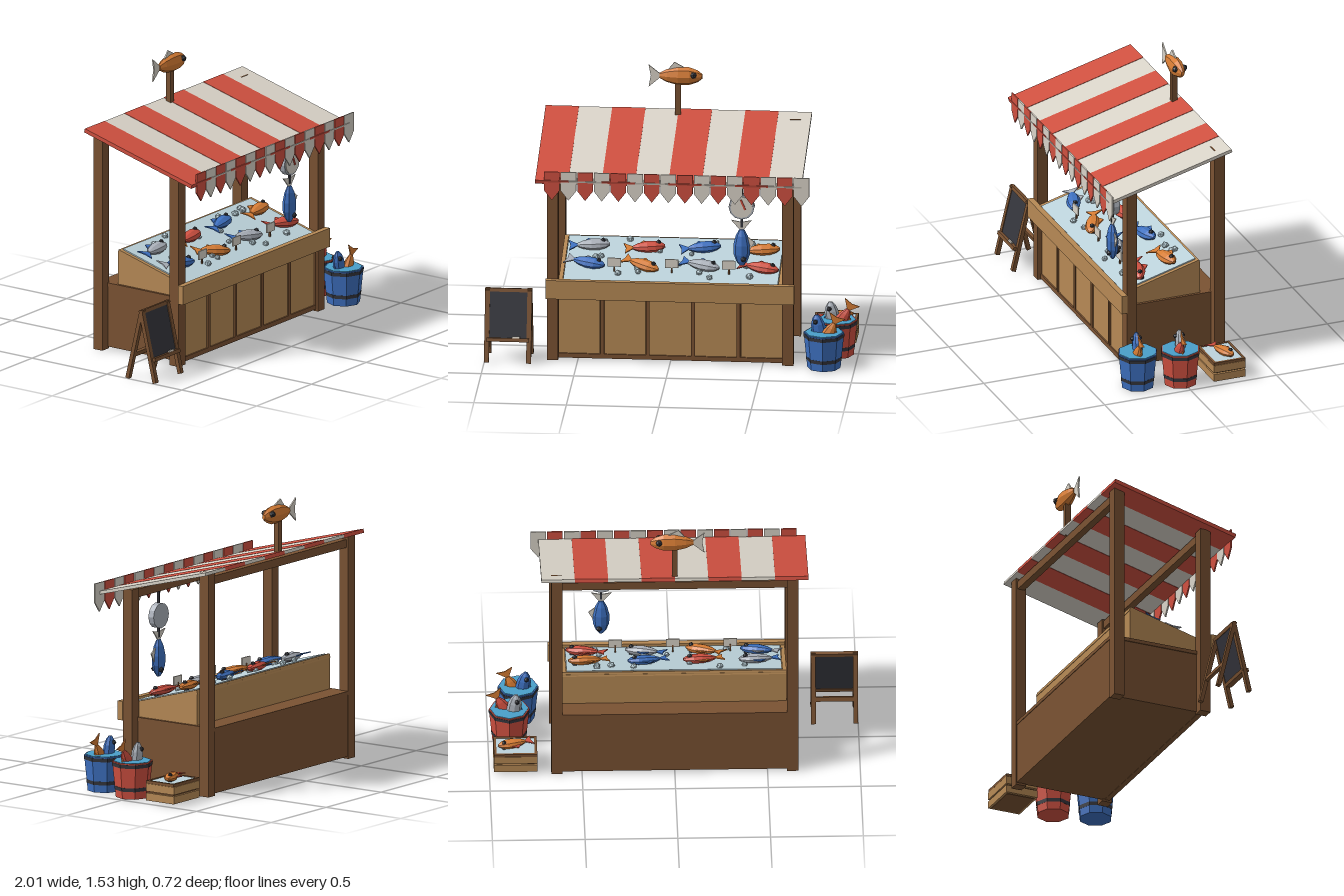
import * as THREE from 'three';

const mat = (name, color) => Object.assign(new THREE.MeshStandardMaterial({ color }), { name });

export function createModel() {
  const M = {
    red: mat('red', 0xcf5040), white: mat('off white', 0xd9d3c8), wood: mat('light wood', 0xb68955),
    brown: mat('dark wood', 0x7a5232), blue: mat('blue', 0x3d70c0), orange: mat('orange', 0xd67c34),
    ice: mat('ice', 0xbcd2da), dark: mat('charcoal', 0x35363d), water: mat('water', 0x4a9fc9),
    grey: mat('silver', 0xa9afb8),
  };
  const root = new THREE.Group();
  root.name = 'fishStall';

  const group = (name, x, y, z, parent = root) => {
    const g = new THREE.Group();
    g.name = name;
    g.position.set(x, y, z);
    parent.add(g);
    return g;
  };
  const add = (name, geo, m, x, y, z, parent = root) => {
    const mesh = new THREE.Mesh(geo, m);
    mesh.name = name;
    mesh.position.set(x, y, z);
    parent.add(mesh);
    return mesh;
  };
  const box = (name, m, w, h, d, x, y, z, parent) => add(name, new THREE.BoxGeometry(w, h, d), m, x, y, z, parent);
  // faceted normals baked into the geometry
  const flat = (g) => {
    const f = g.index ? g.toNonIndexed() : g;
    f.computeVertexNormals();
    return f;
  };
  // thin plate from an outline, centred on z
  const plate = (pts, depth) => {
    const s = new THREE.Shape(pts.map(([x, y]) => new THREE.Vector2(x, y)));
    return new THREE.ExtrudeGeometry(s, { depth, bevelEnabled: false }).translate(0, 0, -depth / 2);
  };

  // fish: nose +x, back +y
  const profile = [[0, -0.1], [0.016, -0.1], [0.037, -0.06], [0.052, 0], [0.05, 0.06], [0.034, 0.105], [0.014, 0.13], [0, 0.13]];
  const bodyGeo = flat(new THREE.LatheGeometry(profile.map(([r, y]) => new THREE.Vector2(r, y)), 8)
    .rotateZ(-Math.PI / 2).scale(1, 1, 0.68));
  const tailGeo = plate([[-0.085, 0], [-0.16, -0.065], [-0.148, 0], [-0.16, 0.06]], 0.008);
  const finGeo = plate([[0.04, 0.045], [-0.02, 0.078], [-0.055, 0.035]], 0.008);
  const eyeGeo = flat(new THREE.IcosahedronGeometry(0.019, 0));
  const fish = (name, body, fins, scale, x, y, z, parent = root) => {
    const g = group(name, x, y, z, parent);
    add('body', bodyGeo, body, 0, 0, 0, g);
    add('tail', tailGeo, fins, 0, 0, 0, g);
    add('backFin', finGeo, fins, 0, 0, 0, g);
    for (const s of [-1, 1]) add('eye', eyeGeo, M.dark, 0.085, 0.012, s * 0.026, g);
    g.scale.setScalar(scale);
    return g;
  };

  // posts and beams
  for (const s of [-1, 1]) {
    box('frontPost', M.brown, 0.06, 1.08, 0.06, s * 0.636, 0.54, 0.205);
    box('rearPost', M.brown, 0.06, 1.23, 0.06, s * 0.636, 0.615, -0.305);
  }
  box('frontBeam', M.brown, 1.22, 0.045, 0.04, 0, 1.05, 0.205);
  box('rearBeam', M.brown, 1.22, 0.045, 0.04, 0, 1.185, -0.305);

  // striped awning with pointed valance
  const awning = group('awning', 0, 1.145, 0.0025);
  awning.rotation.x = Math.atan2(0.19, 0.715);
  for (let i = 0; i < 8; i++) {
    box('awningStripe', i % 2 ? M.white : M.red, 0.18, i % 2 ? 0.018 : 0.022, 0.74, -0.63 + i * 0.18, 0, 0, awning);
  }
  const flagGeo = plate([[-0.042, 0.06], [-0.042, -0.045], [0, -0.1], [0.042, -0.045], [0.042, 0.06]], 0.008);
  for (let i = 0; i < 16; i++) {
    add('valanceFlag', flagGeo, i % 2 ? M.white : M.red, -0.63 + i * 0.09, 1.05 - 0.002, 0.356);
  }

  // rooftop sign fish
  box('signPost', M.brown, 0.03, 0.19, 0.03, 0, 1.315, -0.31);
  fish('signFish', M.orange, M.white, 1, 0, 1.45, -0.31);

  // counter with panelled front
  box('counterBody', M.brown, 1.23, 0.34, 0.525, 0, 0.182, -0.0675);
  box('counterLedge', M.brown, 1.24, 0.02, 0.53, 0, 0.362, -0.068);
  for (let i = 0; i < 5; i++) box('frontPanel', M.wood, 0.226, 0.33, 0.02, (i - 2) * 0.247, 0.19, 0.202);
  for (let i = 0; i < 6; i++) box('panelStile', M.brown, 0.02, 0.34, 0.03, (i - 2.5) * 0.245, 0.19, 0.205);
  box('bottomRail', M.brown, 1.24, 0.025, 0.03, 0, 0.0225, 0.205);
  box('frontBoard', M.wood, 1.345, 0.105, 0.032, 0, 0.408, 0.251);

  // sloped display, outlined as (-z, y)
  const wedge = plate([[-0.234, 0.365], [0.215, 0.365], [0.215, 0.555], [-0.234, 0.43]], 1.21).rotateY(Math.PI / 2);
  add('displayBox', wedge, M.wood, 0, 0, 0);
  const slope = Math.atan2(0.125, 0.449);
  const bed = group('iceBed', 0, 0.4925, 0.0095);
  bed.rotation.x = slope;
  box('ice', M.ice, 1.16, 0.03, 0.44, 0, 0.002, 0, bed);
  for (const s of [-1, 1]) box('sideRail', M.wood, 0.022, 0.024, 0.464, s * 0.594, 0, 0, bed);
  box('rearRail', M.wood, 1.21, 0.024, 0.018, 0, 0, -0.223, bed);

  // fish on ice: body, fins, x, z, yaw
  [
    [M.grey, M.blue, -0.45, -0.1, 0.1], [M.red, M.orange, -0.15, -0.09, 0.15],
    [M.blue, M.blue, 0.15, -0.1, 0.2], [M.orange, M.orange, 0.47, -0.09, 0.15],
    [M.blue, M.grey, -0.46, 0.07, -0.3], [M.orange, M.orange, -0.16, 0.08, -0.5],
    [M.grey, M.blue, 0.16, 0.07, -0.3], [M.red, M.red, 0.48, 0.08, -0.25],
  ].forEach(([b, f, x, z, yaw]) => {
    const lie = group('displayFish', x, 0.04, z, bed);
    lie.rotation.y = yaw;
    fish('fish', b, f, 0.76, 0, 0, 0, lie).rotation.x = -Math.PI / 2;
  });

  // price tags
  for (const x of [-0.31, 0, 0.31]) {
    const tag = group('priceTag', x, 0.015, 0.12, bed);
    tag.rotation.x = -slope;
    box('tagStick', M.brown, 0.008, 0.05, 0.008, 0, 0.02, 0, tag);
    box('tagCard', M.white, 0.072, 0.048, 0.008, 0, 0.055, 0.004, tag);
  }

  // loose ice chunks
  let seed = 7;
  const rnd = () => (seed = (seed * 16807) % 2147483647) / 2147483647;
  for (let i = 0; i < 24; i++) {
    const c = add('iceChunk', flat(new THREE.IcosahedronGeometry(0.013 + rnd() * 0.009, 0)), M.ice,
      (rnd() - 0.5) * 1.1, 0.024, (rnd() - 0.5) * 0.38, bed);
    c.rotation.set(rnd() * 3, rnd() * 3, 0);
  }

  // hanging scale with a fish
  const scale = group('hangingScale', 0.385, 0.89, 0.205);
  box('hanger', M.dark, 0.012, 0.1, 0.012, 0, 0.105, 0, scale);
  add('dialCase', flat(new THREE.CylinderGeometry(0.07, 0.07, 0.035, 12).rotateX(Math.PI / 2)), M.grey, 0, 0, 0, scale);
  add('dialFace', new THREE.CylinderGeometry(0.06, 0.06, 0.006, 12).rotateX(Math.PI / 2), M.white, 0, 0, 0.019, scale);
  box('needle', M.red, 0.01, 0.06, 0.006, 0.008, 0.015, 0.024, scale).rotation.z = 0.4;
  box('hook', M.dark, 0.012, 0.06, 0.012, 0, -0.09, 0, scale);
  const hung = fish('hungFish', M.blue, M.white, 0.88, 0.385, 0.67, 0.205);
  hung.rotation.z = -Math.PI / 2;

  // buckets
  const bucket = (m, x, z) => {
    const g = group('bucket', x, 0, z);
    const ring = (name, r1, r0, h, mm, y) => add(name, flat(new THREE.CylinderGeometry(r1, r0, h, 8)), mm, 0, y, 0, g);
    ring('tub', 0.11, 0.09, 0.198, m, 0.099);
    ring('lowerBand', 0.0975, 0.0955, 0.02, M.dark, 0.052);
    ring('upperBand', 0.1115, 0.1095, 0.02, M.dark, 0.182);
    ring('water', 0.103, 0.103, 0.006, M.water, 0.198);
    return g;
  };
  const blueTub = bucket(M.blue, 0.832, 0.24);
  fish('bucketFish', M.blue, M.blue, 0.76, -0.025, 0.195, -0.01, blueTub).rotation.z = 1.75;
  fish('bucketFish', M.orange, M.orange, 0.76, 0.025, 0.185, 0.01, blueTub).rotation.z = -2.0;
  const redTub = bucket(M.red, 0.885, 0.013);
  fish('bucketFish', M.grey, M.blue, 0.76, -0.025, 0.195, -0.01, redTub).rotation.z = 1.7;
  fish('bucketFish', M.red, M.orange, 0.76, 0.025, 0.195, 0.015, redTub).rotation.z = -2.1;

  // fish crate
  const crate = group('crate', 0.858, 0, -0.238);
  box('crateCore', M.brown, 0.205, 0.1, 0.16, 0, 0.06, 0, crate);
  for (const y of [0.034, 0.085]) box('crateSlats', M.wood, 0.235, 0.042, 0.185, 0, y, 0, crate);
  for (const s of [-1, 1]) {
    box('crateRim', M.brown, 0.235, 0.016, 0.014, 0, 0.115, s * 0.085, crate);
    box('crateRim', M.brown, 0.014, 0.016, 0.16, s * 0.11, 0.115, 0, crate);
  }
  box('crateIce', M.ice, 0.206, 0.012, 0.156, 0, 0.114, 0, crate);
  const crateLie = group('crateFish', 0, 0.14, 0, crate);
  crateLie.rotation.y = 0.3;
  fish('fish', M.orange, M.red, 0.66, 0.01, 0, 0, crateLie).rotation.x = -Math.PI / 2;

  // folding chalkboard
  const frame = (name, z, lean) => {
    const g = group(name, -0.873, 0.002, z);
    g.rotation.x = lean;
    for (const s of [-1, 1]) box('boardLeg', M.brown, 0.026, 0.405, 0.022, s * 0.114, 0.203, 0, g);
    return g;
  };
  const front = frame('boardFront', 0.316, -0.235);
  box('boardPanel', M.dark, 0.204, 0.26, 0.014, 0, 0.265, 0, front);
  box('boardTop', M.brown, 0.204, 0.02, 0.022, 0, 0.396, 0, front);
  box('boardTray', M.brown, 0.23, 0.02, 0.04, 0, 0.127, 0.008, front);
  box('chalk', M.white, 0.04, 0.01, 0.01, 0.045, 0.142, 0.02, front);
  const back = frame('boardBack', 0.134, 0.235);
  box('boardRung', M.brown, 0.204, 0.025, 0.018, 0, 0.14, 0, back);

  return root;
}
